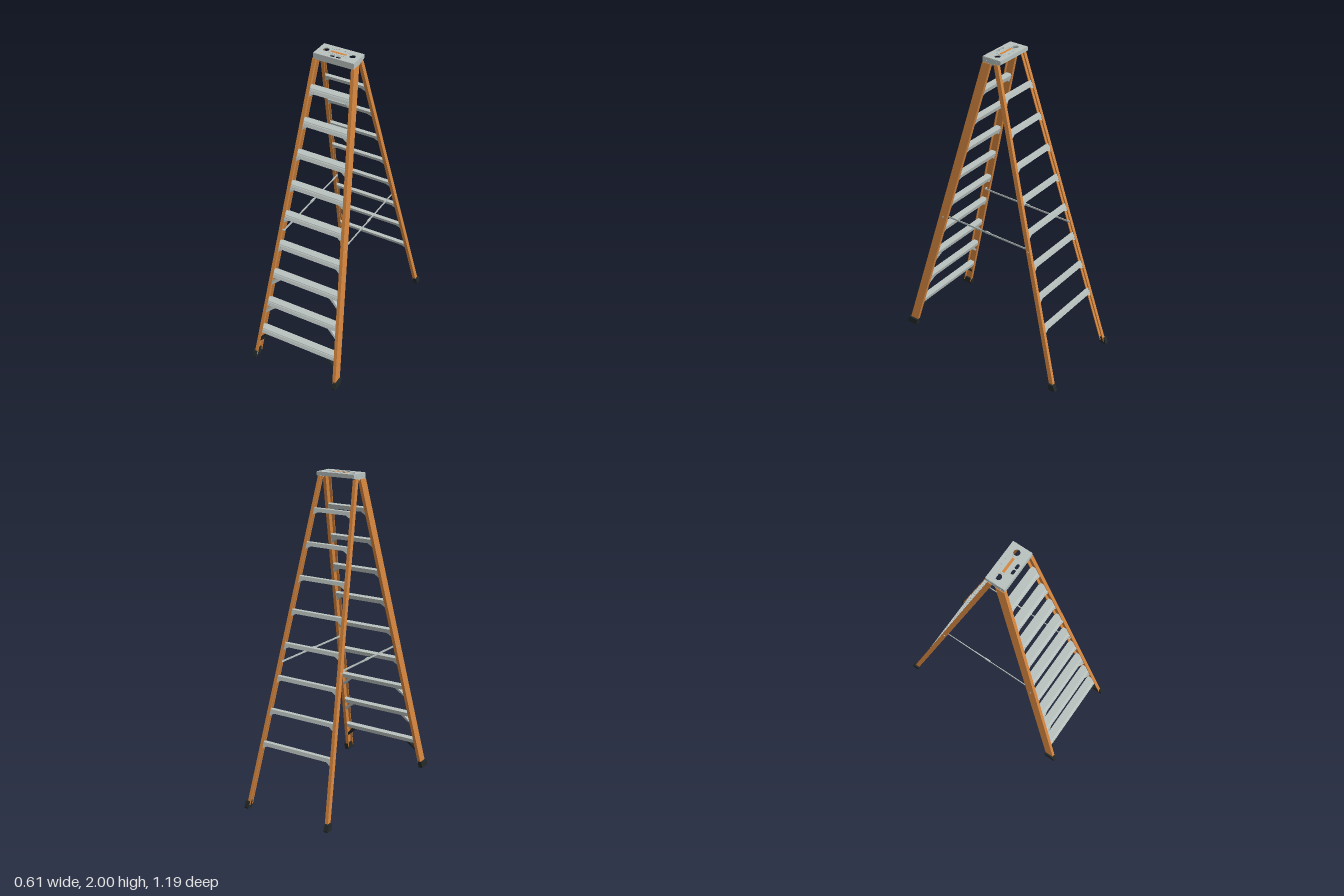
import * as THREE from 'three';

const material = (color) => new THREE.MeshStandardMaterial({ color, side: THREE.DoubleSide });
const metal = material(0xb9c2bf);
const orange = material(0xd6863f);
const dark = material(0x23292a);

// Rail layouts: centre line z = z0 + slope * y, half depth, top height
const FRONT = { z0: 0.558, slope: -0.262, half: 0.029, top: 1.965 };
const BACK = { z0: -0.572, slope: 0.279, half: 0.0145, top: 1.97 };
const WEB = 0.005, FLANGE = 0.021, LEAN = -0.083;
const outerX = (y) => 0.297 + LEAN * y;
const railZ = (leg, y) => leg.z0 + leg.slope * y;

const outline = (pts) => new THREE.Shape(pts.map(([a, b]) => new THREE.Vector2(a, b)));
const extrude = (shape, depth) =>
  new THREE.ExtrudeGeometry(shape, { depth, bevelEnabled: false, curveSegments: 20 });

// Profile of [z, y] points swept along x
function extrudeX(pts, x0, x1) {
  const g = extrude(outline(pts.map(([z, y]) => [-z, y])), x1 - x0);
  return g.rotateY(Math.PI / 2).translate(x0, 0, 0);
}

export function createModel() {
  const root = new THREE.Group();
  const add = (name, geometry, mat = metal, parent = root) => {
    const mesh = new THREE.Mesh(geometry, mat);
    mesh.name = name;
    parent.add(mesh);
  };
  const group = (name) => {
    const g = new THREE.Group();
    g.name = name;
    root.add(g);
    return g;
  };
  const box = (name, w, h, d, x, y, z, mat, parent) =>
    add(name, new THREE.BoxGeometry(w, h, d).translate(x, y, z), mat, parent);

  // Channel rail, open towards the middle, leaning in x and z
  function rail(name, leg, s) {
    const h = leg.half, t = 0.005;
    const pts = [[0, -h], [0, h], [-FLANGE, h], [-FLANGE, h - t],
      [-WEB, h - t], [-WEB, t - h], [-FLANGE, t - h], [-FLANGE, -h]];
    const y0 = 0.02;
    const g = extrude(outline(pts.map(([x, z]) => [s * x, z])), leg.top - y0);
    g.rotateX(-Math.PI / 2).translate(0, y0, 0);
    g.applyMatrix4(new THREE.Matrix4().set(
      1, s * LEAN, 0, s * 0.297,
      0, 1, 0, 0,
      0, leg.slope, 1, leg.z0,
      0, 0, 0, 1));
    add(name, g, orange);
  }

  // Rubber boot with a widened sole
  function foot(name, leg, s) {
    const d = Math.sign(leg.z0), c = leg.z0, h = leg.half;
    const pts = [[c - d * (h + 0.006), 0], [c + d * (h + 0.009), 0],
      [c + d * (h + 0.009), 0.009], [c + d * (h - 0.004), 0.044],
      [c - d * (h + 0.013), 0.044], [c - d * (h + 0.008), 0.009]];
    const x = s * 0.291;
    add(name, extrudeX(pts, x - 0.0135, x + 0.0135), dark);
  }

  // Diagonal brace lying in the leaning plane of the rails
  function brace(name, leg, s, y, drop, length, mat, parent) {
    const w = 0.014, yt = y - 0.012;
    const xi = (v) => outerX(v) - WEB;
    const pts = [[xi(y - drop), y - drop], [xi(y - drop + w), y - drop + w],
      [xi(yt) - length + w * 1.4, yt], [xi(yt) - length - w * 0.5, yt]];
    const depth = leg.half * 1.6;
    const g = extrude(outline(pts.map(([x, v]) => [s * x, v])), depth);
    g.translate(0, 0, leg.z0 - depth / 2);
    g.applyMatrix4(new THREE.Matrix4().set(
      1, 0, 0, 0, 0, 1, 0, 0, 0, leg.slope, 1, 0, 0, 0, 0, 1));
    add(name, g, mat, parent);
  }

  for (const s of [1, -1]) {
    const side = s > 0 ? 'Left' : 'Right';
    rail('front' + side + 'Rail', FRONT, s);
    rail('back' + side + 'Rail', BACK, s);
    foot('front' + side + 'Foot', FRONT, s);
    foot('back' + side + 'Foot', BACK, s);
  }

  // Front steps: flat tread with a sloping nose, rear lip and two ribs underneath
  function treadProfile(y) {
    const h = FRONT.half - 0.001, t = 0.004, lip = 0.026;
    const c = railZ(FRONT, y), k = -FRONT.slope * lip;
    const pts = [[c - h, y], [c + h - 0.009, y], [c + h - 0.007, y - 0.005],
      [c + h - 0.003, y - 0.007], [c + h + k, y - lip], [c + h + k - 0.011, y - lip],
      [c + h + k - 0.011, y - lip + 0.003], [c + h + k - t, y - lip + 0.003],
      [c + h - 0.011, y - t - 0.002]];
    for (const z of [0.008, -0.01]) {
      pts.push([c + z + 0.0015, y - t], [c + z + 0.0015, y - 0.014],
        [c + z - 0.0015, y - 0.014], [c + z - 0.0015, y - t]);
    }
    pts.push([c - h + t, y - t], [c - h + t + k, y - lip], [c - h + k, y - lip]);
    return pts;
  }
  for (let i = 0; i < 9; i++) {
    const y = 0.21 + i * 0.1975, x = outerX(y) - WEB;
    const g = group('step' + (i + 1));
    add('tread', extrudeX(treadProfile(y), -x, x), metal, g);
    const drop = i === 0 ? 0.1 : i < 3 ? 0.09 : 0.055;
    const length = i < 3 ? 0.08 : 0.053;
    for (const s of [1, -1]) {
      brace('stepBrace', FRONT, s, y - 0.006, drop, length, i ? metal : dark, g);
      // Rivets on the front lip
      for (const dx of [0.03, 0.045]) {
        const rivet = new THREE.CylinderGeometry(0.003, 0.003, 0.004, 8).rotateX(Math.PI / 2);
        rivet.translate(s * (x - dx), y - 0.015, railZ(FRONT, y - 0.015) + FRONT.half - 0.001);
        add('rivet', rivet, metal, g);
      }
    }
  }

  // Back rungs, starting one level higher than the steps
  for (let i = 0; i < 8; i++) {
    const y = 0.405 + i * 0.1975, x = outerX(y) - WEB, h = BACK.half - 0.001;
    const c = railZ(BACK, y), k = -BACK.slope, lip = 0.022;
    const g = group('backRung' + (i + 1));
    add('rungBar', extrudeX([[c - h, y], [c + h, y], [c + h + k * lip, y - lip],
      [c - h + k * lip, y - lip]], -x, x), metal, g);
    for (const s of [1, -1]) brace('rungBrace', BACK, s, y - 0.004, 0.045, 0.05, metal, g);
  }

  // Folding spreader bars with a central hinge
  for (const s of [1, -1]) {
    const g = group(s > 0 ? 'leftSpreader' : 'rightSpreader');
    const y = 0.885, x = s * 0.201;
    box('frontBar', 0.004, 0.011, 0.335, x, y, 0.1585, metal, g);
    box('backBar', 0.004, 0.011, 0.33, x, y, -0.165, metal, g);
    box('hingeLink', 0.006, 0.008, 0.1, x, y + 0.001, -0.05, metal, g);
    box('hingePlate', 0.008, 0.015, 0.036, x, y + 0.002, -0.01, metal, g);
    // Bolts through the rails
    for (const leg of [FRONT, BACK]) {
      const bolt = new THREE.CylinderGeometry(0.005, 0.005, 0.028, 10).rotateZ(Math.PI / 2);
      add('bolt', bolt.translate(s * 0.213, y, railZ(leg, y)), metal, g);
    }
  }

  // Top cap: perforated plate with skirts, hollow underneath
  const cap = group('topCap');
  const W = 0.129, zf = 0.071, zb = -0.054, T = 0.006;
  const plate = outline([[-W, -zf], [W, -zf], [W, -zb], [-W, -zb]]);
  const hole = (x, z, r) => plate.holes.push(new THREE.Path().absarc(x, -z, r, 0, Math.PI * 2, true));
  const slot = (x, z, half, r) => {
    const p = new THREE.Path();
    p.absarc(x + half, -z, r, Math.PI / 2, -Math.PI / 2, true);
    p.absarc(x - half, -z, r, -Math.PI / 2, -Math.PI * 1.5, true);
    plate.holes.push(p);
  };
  for (const s of [1, -1]) {
    hole(s * 0.084, 0.001, 0.019);
    hole(s * 0.02, -0.029, 0.005);
    slot(s * 0.0185, 0.049, 0.007, 0.0095);
  }
  add('capPlate', extrude(plate, T).rotateX(-Math.PI / 2).translate(0, 2 - T, 0), metal, cap);
  box('capFrontSkirt', 2 * W, 0.036, 0.005, 0, 1.979, zf - 0.0025, metal, cap);
  box('capBackSkirt', 2 * W, 0.02, 0.005, 0, 1.986, zb + 0.0025, metal, cap);
  const cheek = [[zf, 1.961], [0.02, 1.956], [zb, 1.977], [zb, 1.997], [zf, 1.997]];
  for (const s of [1, -1]) {
    const x = s * (W - 0.0015);
    add('capCheek', extrudeX(cheek, x - 0.0025, x + 0.0025), metal, cap);
    // Cap rivets over the rail tops
    for (const [y, z] of [[1.978, 0.045], [1.983, -0.025]]) {
      const rivet = new THREE.CylinderGeometry(0.004, 0.004, 0.004, 10).rotateZ(Math.PI / 2);
      add('capRivet', rivet.translate(s * (W + 0.002), y, z), metal, cap);
    }
  }
  box('capStripe', 0.098, 0.002, 0.016, -0.002, 1.9995, 0.006, orange, cap);
  // Raised rim around the small tray
  for (const s of [1, -1]) {
    box('trayRimSide', 0.002, 0.003, 0.05, s * 0.058, 2, 0.004, metal, cap);
    box('trayRimBack', 0.032, 0.003, 0.002, s * 0.042, 2, -0.021, metal, cap);
  }
  box('trayRimFront', 0.118, 0.003, 0.002, 0, 2, 0.029, metal, cap);

  return root;
}
